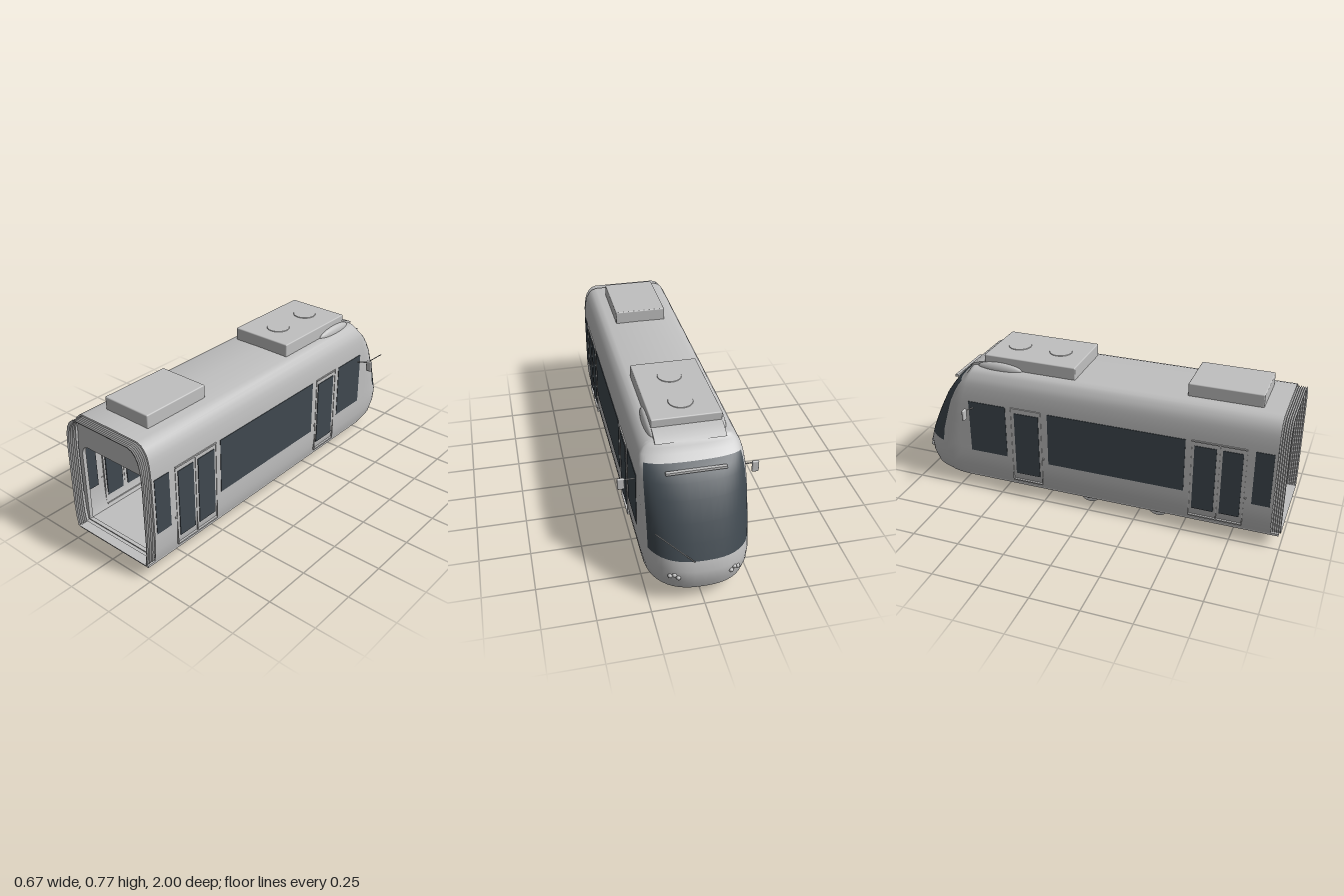
import * as THREE from 'three';
import { toCreasedNormals } from 'three/addons/utils/BufferGeometryUtils.js';
import { RoundedBoxGeometry } from 'three/addons/geometries/RoundedBoxGeometry.js';

const mat = (name, color, side = THREE.FrontSide) => {
  const m = new THREE.MeshStandardMaterial({ color, side });
  m.name = name;
  return m;
};

// Body levels: height, half width, nose z, nose length
const LEVELS = [
  [0.065, 0, -0.93, 0.25], [0.065, 0.232, -0.93, 0.25], [0.085, 0.239, -0.975, 0.26],
  [0.14, 0.247, -0.995, 0.26], [0.2, 0.25, -1, 0.26], [0.25, 0.25, -0.985, 0.26],
  [0.33, 0.25, -0.95, 0.22], [0.41, 0.25, -0.91, 0.19], [0.5, 0.25, -0.86, 0.15],
  [0.56, 0.248, -0.815, 0.12], [0.6, 0.244, -0.782, 0.1], [0.625, 0.24, -0.745, 0.07],
  [0.65, 0.233, -0.712, 0.05], [0.675, 0.218, -0.692, 0.04], [0.692, 0.2, -0.68, 0.035],
  [0.7, 0.175, -0.67, 0.03], [0.702, 0, -0.665, 0.03],
];
const REAR = 0.95, SEG = 24;

// Point on the rounded nose at one level, t from 0 (+x side) to PI (-x side)
function nosePoint([y, w, f, l], t) {
  const c = Math.cos(t), s = Math.max(0, Math.sin(t));
  return new THREE.Vector3(w * Math.sign(c) * Math.abs(c) ** 0.8, y, f + l - l * s ** 0.8);
}

// Skin a grid of points, keeping only the chosen cells
function loft(rows, keep = () => true) {
  const n = rows[0].length, index = [];
  for (let i = 0; i < rows.length - 1; i++) {
    for (let j = 0; j < n - 1; j++) {
      if (!keep(i, j)) continue;
      const a = i * n + j, b = a + 1, c = a + n, d = c + 1;
      index.push(a, b, d, a, d, c);
    }
  }
  const g = new THREE.BufferGeometry().setFromPoints(rows.flat());
  g.setIndex(index);
  return toCreasedNormals(g, 0.6);
}

// Cross-section of the saloon, anticlockwise from lower right
function sectionPoints(inset) {
  const half = LEVELS.slice(2, -1).map(([y, w]) => new THREE.Vector2(w - inset, y - (y > 0.6 ? inset : 0)));
  return [...half, ...half.map((p) => new THREE.Vector2(-p.x, p.y)).reverse()];
}

export function createModel() {
  const model = new THREE.Group();
  model.name = 'tram';
  const grey = mat('light grey', 0xc0c0c0);
  const shell = mat('shell grey', 0xc0c0c0, THREE.DoubleSide);
  const glass = mat('dark glass', 0x3f484f, THREE.DoubleSide);
  const screen = mat('screen', 0x40434f);

  const add = (name, geo, m = grey, x = 0, y = 0, z = 0) => {
    const mesh = new THREE.Mesh(geo, m);
    mesh.name = name;
    mesh.position.set(x, y, z);
    model.add(mesh);
    return mesh;
  };
  // Box given by its limits
  const box = (name, x0, x1, y0, y1, z0, z1, m = grey) =>
    add(name, new THREE.BoxGeometry(x1 - x0, y1 - y0, z1 - z0), m, (x0 + x1) / 2, (y0 + y1) / 2, (z0 + z1) / 2);
  const sideBox = (name, s, x0, x1, ...rest) =>
    s > 0 ? box(name, x0, x1, ...rest) : box(name, -x1, -x0, ...rest);
  const rod = (name, a, b, r, m = grey) => {
    const p = new THREE.Vector3(...a), q = new THREE.Vector3(...b);
    const mesh = add(name, new THREE.CylinderGeometry(r, r, p.distanceTo(q), 10), m);
    mesh.position.copy(p).add(q).multiplyScalar(0.5);
    mesh.quaternion.setFromUnitVectors(new THREE.Vector3(0, 1, 0), q.sub(p).normalize());
    return mesh;
  };

  // Shell and wrap-round windscreen
  const rows = LEVELS.map((lv) => {
    const row = [new THREE.Vector3(lv[1], lv[0], REAR)];
    for (let k = 0; k <= SEG; k++) row.push(nosePoint(lv, Math.PI * k / SEG));
    row.push(new THREE.Vector3(-lv[1], lv[0], REAR));
    return row;
  });
  const isGlass = (i, j) => i >= 5 && i < 11 && j >= 4 && j < SEG - 2;
  add('bodyShell', loft(rows, (i, j) => !isGlass(i, j)), shell);
  add('windscreen', loft(rows, isGlass), glass);

  // Folded bellows round the open end
  const folds = [];
  for (let k = 0; k <= 10; k++) {
    const pts = sectionPoints(k % 2 ? 0.014 : 0.005).map((p) => new THREE.Vector3(p.x, p.y, REAR + 0.05 * k / 10));
    folds.push([...pts, pts[0].clone()]);
  }
  add('bellows', loft(folds), shell);

  // Bulkhead with gangway opening, and the closed cab partition
  const bulkhead = new THREE.Shape(sectionPoints(0.004));
  const arch = new THREE.Path();
  arch.moveTo(-0.225, 0.09).lineTo(-0.225, 0.465);
  arch.quadraticCurveTo(-0.22, 0.515, -0.175, 0.515).lineTo(0.175, 0.515);
  arch.quadraticCurveTo(0.22, 0.515, 0.225, 0.465).lineTo(0.225, 0.09);
  bulkhead.holes.push(arch);
  const plate = { depth: 0.02, bevelEnabled: false };
  add('gangwayBulkhead', new THREE.ExtrudeGeometry(bulkhead, plate), grey, 0, 0, 0.915);
  add('cabPartition', new THREE.ExtrudeGeometry(new THREE.Shape(sectionPoints(0.004)), plate), grey, 0, 0, -0.46);
  box('partitionWindow', -0.17, -0.065, 0.35, 0.42, -0.44, -0.434, screen);
  box('partitionPost', -0.14, -0.136, 0.33, 0.35, -0.44, -0.434, screen);
  box('floor', -0.236, 0.236, 0.068, 0.08, -0.7, 0.99);

  // Hanging information display
  box('displayCase', -0.065, 0.065, 0.455, 0.5, -0.42, -0.4);
  for (const s of [1, -1]) sideBox('displayPanel', s, 0.003, 0.06, 0.458, 0.497, -0.4, -0.395, screen);

  for (const s of [1, -1]) {
    // Side windows
    for (const [z0, z1] of [[0.845, 0.935], [-0.22, 0.505], [-0.665, -0.455]])
      sideBox('sideWindow', s, 0.245, 0.252, 0.235, 0.525, z0, z1, glass);

    // Doors: glazing, rails, seams and button
    for (const [z0, z1] of [[0.69, 0.79], [0.55, 0.66], [-0.405, -0.27]])
      sideBox('doorWindow', s, 0.245, 0.253, 0.145, 0.5, z0, z1, glass);
    for (const [z0, z1] of [[0.535, 0.805], [-0.425, -0.257]]) {
      sideBox('doorTopRail', s, 0.244, 0.255, 0.522, 0.529, z0, z1);
      sideBox('doorSill', s, 0.236, 0.253, 0.098, 0.105, z0, z1);
      for (const z of [z0, z1]) sideBox('doorEdge', s, 0.244, 0.2525, 0.105, 0.522, z - 0.002, z + 0.002);
      sideBox('doorButton', s, 0.248, 0.256, 0.255, 0.265, z1 + 0.006, z1 + 0.014);
      rod('doorPost', [s * 0.222, 0.08, z0], [s * 0.222, 0.51, z0], 0.003);
    }
    sideBox('doorSeam', s, 0.248, 0.2525, 0.105, 0.522, 0.673, 0.677);

    // Mirrors on arms
    rod('mirrorArm', [s * 0.245, 0.488, -0.64], [s * 0.305, 0.5, -0.653], 0.003);
    add('mirror', new RoundedBoxGeometry(0.034, 0.06, 0.014, 2, 0.006), grey, s * 0.319, 0.48, -0.655);

    // Headlamp clusters
    for (const [t, y] of [[0.31, 0.168], [0.34, 0.178], [0.365, 0.165]]) {
      const p = nosePoint([y, 0.249, -0.998, 0.26], Math.PI * (s > 0 ? t : 1 - t));
      add('headlamp', new THREE.SphereGeometry(0.011, 12, 8), grey, p.x, p.y, p.z);
    }

    // Roof fairing blisters
    const blister = add('roofBlister', new THREE.SphereGeometry(1, 20, 12), grey, s * 0.166, 0.698, -0.51);
    blister.scale.set(0.024, 0.035, 0.125);

    // Saloon seats on plinths
    box('seatPlinth', ...(s > 0 ? [0.04, 0.225] : [-0.225, -0.04]), 0.08, 0.12, -0.1, 0.45);
    for (const z of [-0.05, 0.15, 0.35]) {
      for (const x of [0.047, 0.14]) {
        sideBox('seatCushion', s, x, x + 0.09, 0.2, 0.22, z, z + 0.09);
        sideBox('seatBack', s, x, x + 0.09, 0.2, 0.35, z - 0.015, z);
      }
      sideBox('seatLeg', s, 0.13, 0.15, 0.12, 0.2, z + 0.02, z + 0.06);
    }
    rod('grabPole', [s * 0.175, 0.08, 0.6], [s * 0.175, 0.505, 0.6], 0.004);

    // Wheels, hubs and small brake discs
    for (const [zw, zb] of [[0.355, 0.262], [-0.02, 0.073]]) {
      const turn = (m) => { m.rotation.z = Math.PI / 2; };
      turn(add('wheel', new THREE.CylinderGeometry(0.062, 0.062, 0.018, 28), grey, s * 0.161, 0.064, zw));
      turn(add('wheelFlange', new THREE.CylinderGeometry(0.064, 0.064, 0.005, 28), grey, s * 0.15, 0.064, zw));
      turn(add('wheelHub', new THREE.CylinderGeometry(0.028, 0.034, 0.03, 20), grey, s * 0.175, 0.06, zw));
      turn(add('brakeDisc', new THREE.CylinderGeometry(0.032, 0.032, 0.009, 20), grey, s * 0.1, 0.058, zb));
      sideBox('wheelCover', s, 0.155, 0.198, 0.08, 0.152, zw - 0.06, zw + 0.06);
    }
  }
  rod('centrePole', [0, 0.08, 0.7], [0, 0.515, 0.7], 0.004);

  // Axles and motors below the floor
  for (const z of [0.355, -0.02]) rod('axle', [-0.16, 0.055, z], [0.16, 0.055, z], 0.007);
  for (const z of [0.23, 0.1]) box('motor', -0.09, 0.062, 0.04, 0.066, z - 0.022, z + 0.022);

  // Roof equipment with fans and a sloping front fairing
  const unit = (name, w, z0, z1) =>
    add(name, new RoundedBoxGeometry(w, 0.07, z1 - z0, 2, 0.006), grey, 0, 0.731, (z0 + z1) / 2);
  unit('rearRoofUnit', 0.27, 0.475, 0.845);
  unit('frontRoofUnit', 0.332, -0.597, -0.097);
  for (const z of [-0.47, -0.24])
    add('roofFan', new THREE.CylinderGeometry(0.058, 0.06, 0.004, 28), grey, 0, 0.767, z);
  const slope = new THREE.Shape([[0.5, 0.695], [0.685, 0.693], [0.66, 0.708], [0.62, 0.722], [0.56, 0.732], [0.5, 0.732]]
    .map((p) => new THREE.Vector2(...p)));
  const fairing = new THREE.ExtrudeGeometry(slope, { depth: 0.33, bevelEnabled: false });
  fairing.rotateY(Math.PI / 2);
  add('roofFairing', toCreasedNormals(fairing, 0.5), grey, -0.165, 0, 0);

  // Light bar and wiper on the windscreen
  box('lightBar', -0.14, 0.14, 0.597, 0.609, -0.793, -0.776);
  rod('wiper', [0.05, 0.255, -0.992], [0.22, 0.41, -0.945], 0.0025);
  return model;
}
